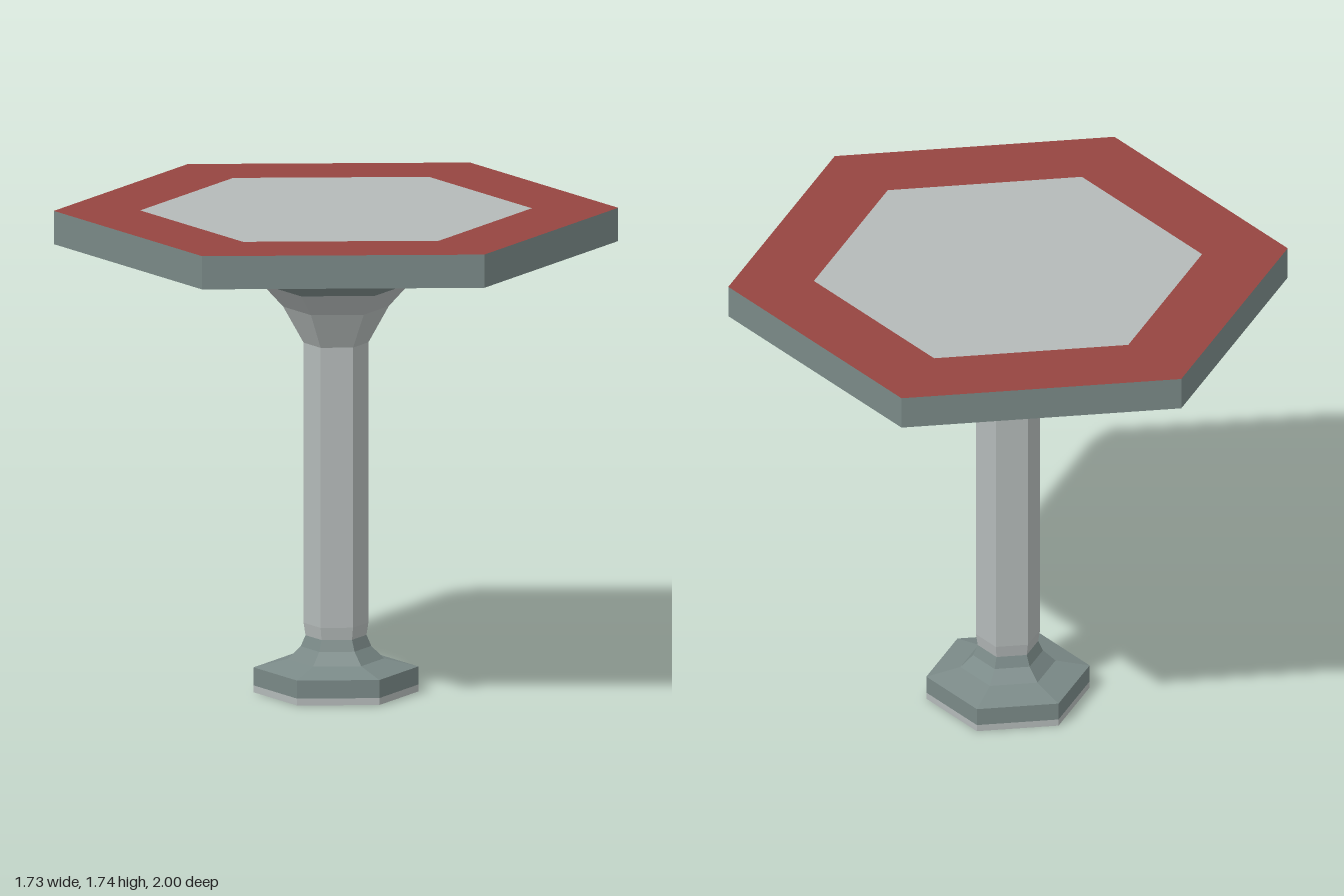
import * as THREE from 'three';

const SIDES = 6;

export function createModel() {
  const pale = new THREE.MeshStandardMaterial({ name: 'pale grey', color: 0xb4bab9 });
  const slate = new THREE.MeshStandardMaterial({ name: 'slate grey', color: 0x7a8987 });
  const red = new THREE.MeshStandardMaterial({ name: 'brick red', color: 0x964540 });

  const table = new THREE.Group();
  table.name = 'hexagonalTable';

  // Every part is six-sided with hard edges and a corner on the z axis
  function add(parent, name, geometry, material) {
    const flat = geometry.toNonIndexed();
    flat.computeVertexNormals();
    const mesh = new THREE.Mesh(flat, material);
    mesh.name = name;
    parent.add(mesh);
  }
  // Profile points are [radius, height], from bottom to top
  const turned = (profile) =>
    new THREE.LatheGeometry(profile.map(([r, y]) => new THREE.Vector2(r, y)), SIDES);
  // Flat hexagon facing up or down
  const disc = (radius, y, up = true) =>
    new THREE.CircleGeometry(radius, SIDES, Math.PI / 2)
      .rotateX(up ? -Math.PI / 2 : Math.PI / 2).translate(0, y, 0);

  // Foot: pale sole strip, slate body and sloping collar
  const foot = new THREE.Group();
  foot.name = 'foot';
  table.add(foot);
  add(foot, 'footUnderside', disc(0.292, 0, false), slate);
  add(foot, 'soleStrip', turned([[0.292, 0], [0.292, 0.025]]), pale);
  add(foot, 'footBody',
    turned([[0.292, 0.025], [0.292, 0.09], [0.17, 0.12], [0.125, 0.165], [0.108, 0.205]]), slate);

  // Column, flowing into the lowest part of the flare
  add(table, 'column',
    turned([[0.108, 0.205], [0.115, 0.25], [0.115, 1.26], [0.187, 1.39], [0.26, 1.47]]), pale);

  // Banded flare under the top
  const flare = new THREE.Group();
  flare.name = 'flare';
  table.add(flare);
  add(flare, 'lowerBand', turned([[0.26, 1.47], [0.345, 1.54]]), slate);
  add(flare, 'middleBand', turned([[0.345, 1.54], [0.415, 1.58]]), pale);
  add(flare, 'upperBand', turned([[0.415, 1.58], [0.49, 1.62]]), slate);

  // Table top: slate edge, red rim and underside, pale centre
  const top = new THREE.Group();
  top.name = 'tableTop';
  table.add(top);
  add(top, 'topUnderside', disc(1, 1.62, false), red);
  add(top, 'topEdge', turned([[1, 1.62], [1, 1.74]]), slate);
  add(top, 'topRim', new THREE.RingGeometry(0.694, 1, SIDES, 1, Math.PI / 2)
    .rotateX(-Math.PI / 2).translate(0, 1.74, 0), red);
  add(top, 'topCentre', disc(0.694, 1.74), pale);

  return table;
}
